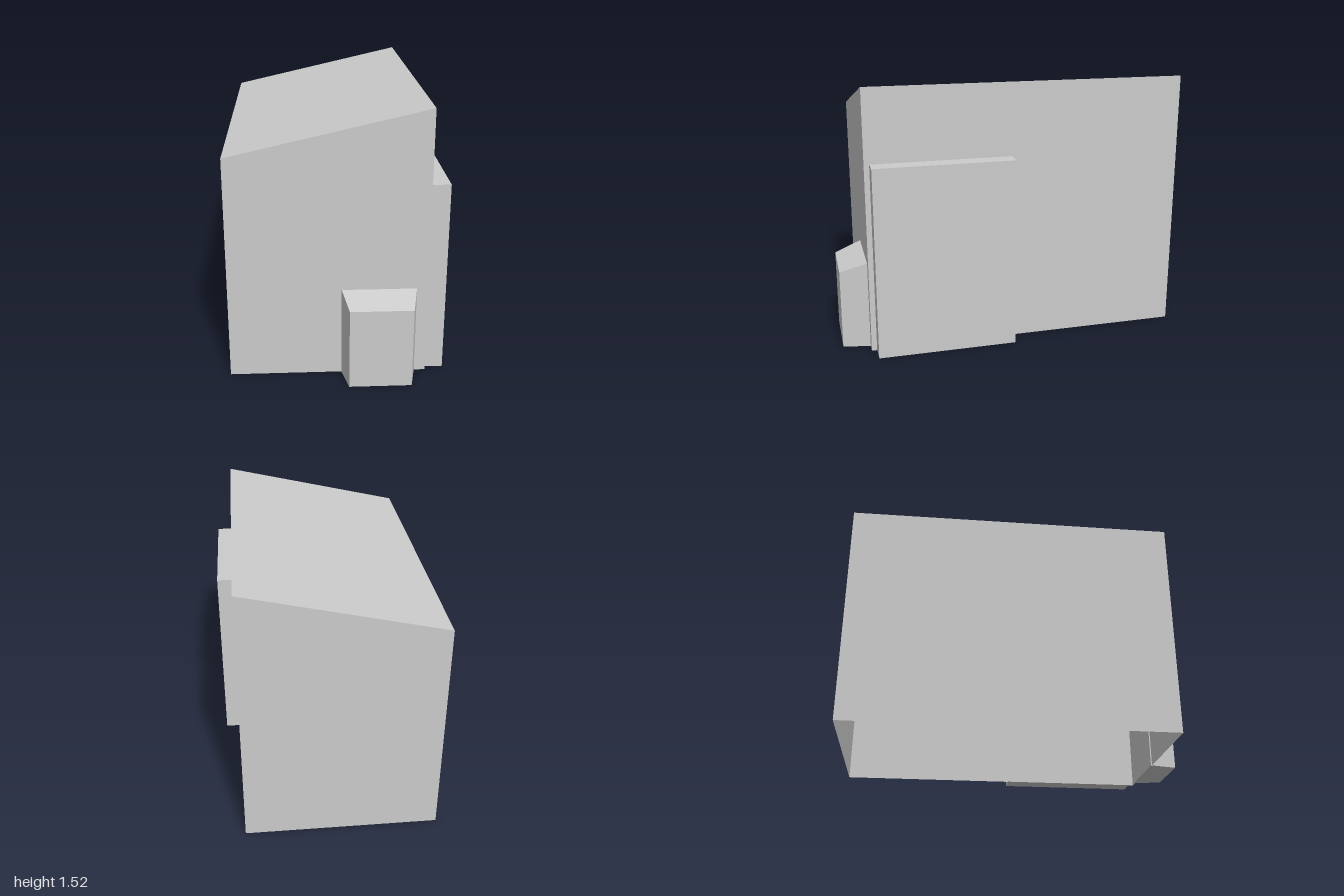
import * as THREE from 'three';

const material = new THREE.MeshStandardMaterial({ color: 0xcccccc, flatShading: true, side: THREE.DoubleSide });

// Box between two corners, with an optional rule that moves its vertices
function block(name, [x0, y0, z0], [x1, y1, z1], rule, openBottom = false) {
  const geometry = new THREE.BoxGeometry(x1 - x0, y1 - y0, z1 - z0);
  geometry.translate((x0 + x1) / 2, (y0 + y1) / 2, (z0 + z1) / 2);
  if (rule) {
    const p = geometry.attributes.position;
    const v = new THREE.Vector3();
    for (let i = 0; i < p.count; i++) {
      rule(v.fromBufferAttribute(p, i));
      p.setXYZ(i, v.x, v.y, v.z);
    }
  }
  if (openBottom) {
    // Leave out the downward face (fourth group of six indices)
    const index = Array.from(geometry.index.array);
    index.splice(18, 6);
    geometry.setIndex(index);
    geometry.clearGroups();
  }
  geometry.computeVertexNormals();
  const mesh = new THREE.Mesh(geometry, material);
  mesh.name = name;
  return mesh;
}

export function createModel() {
  const model = new THREE.Group();
  model.name = 'shed';

  // Main shell with a single-pitch roof, open underneath
  model.add(block('building', [-0.6, 0, -1], [0.495, 1.52, 0.845], (v) => {
    if (v.y > 1 && v.x < 0) v.y = 1.27;
  }, true));

  // Flat panel standing against the left wall
  model.add(block('sidePanel', [0.49, 0, 0.015], [0.6, 1.1, 0.815]));

  // Entrance block that narrows and lowers toward the front
  model.add(block('porch', [0.02, 0, 0.838], [0.436, 0.515, 1], (v) => {
    if (v.z < 0.9) return;
    v.x = v.x < 0.2 ? 0.056 : 0.4;
    if (v.y > 0.3) v.y = 0.46;
  }));

  return model;
}
